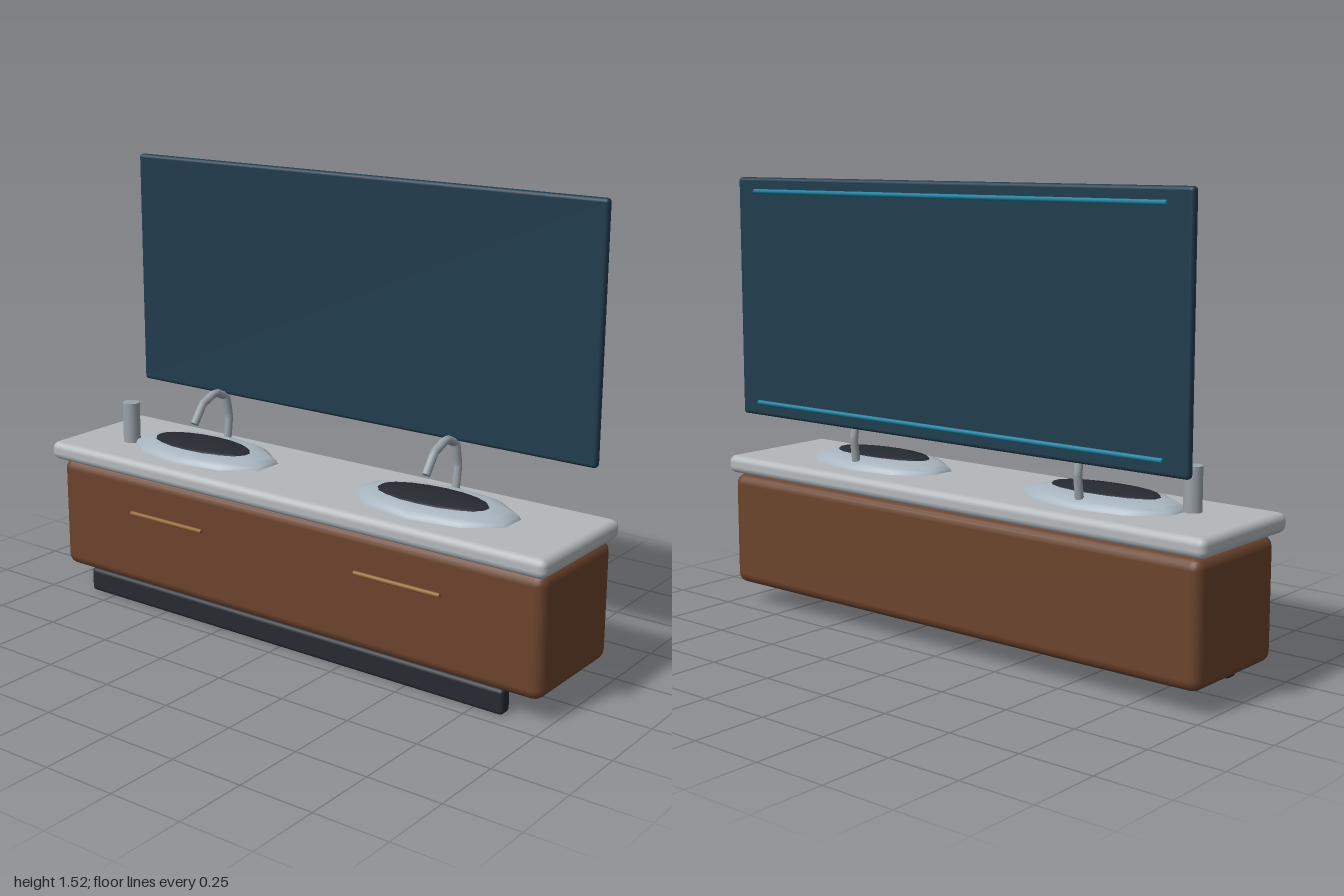
import * as THREE from 'three';
import { RoundedBoxGeometry } from 'three/addons/geometries/RoundedBoxGeometry.js';

const paint = (color) => new THREE.MeshStandardMaterial({ color });
const wood = paint(0x6b432c);
const stone = paint(0xb3b8bb);
const ceramic = paint(0xa9b5bf);
const metal = paint(0x9aa3aa);
const dark = paint(0x262a31);
const glass = paint(0x1f3b4d);
const glow = paint(0x1a7f9c);
const brass = paint(0x8f6230);

export function createModel() {
  const model = new THREE.Group();
  model.name = 'doubleVanity';

  function add(name, geometry, material, x = 0, y = 0, z = 0) {
    const mesh = new THREE.Mesh(geometry, material);
    mesh.name = name;
    mesh.position.set(x, y, z);
    model.add(mesh);
    return mesh;
  }

  // Rounded box given by its lower and upper limits
  function block(name, material, [x0, x1], [y0, y1], [z0, z1], radius, segments = 2) {
    const geometry = new RoundedBoxGeometry(x1 - x0, y1 - y0, z1 - z0, segments, radius);
    return add(name, geometry, material, (x0 + x1) / 2, (y0 + y1) / 2, (z0 + z1) / 2);
  }

  // Shallow oval dome, profile as [radius fraction, height]
  function oval(name, material, profile, segments, rx, rz, x, y, z) {
    const points = profile.map(([r, h]) => new THREE.Vector2(r, h));
    const geometry = new THREE.LatheGeometry(points, segments);
    geometry.scale(rx, 1, rz);
    return add(name, geometry, material, x, y, z);
  }

  // Cabinet, recessed plinth and countertop
  block('plinth', dark, [-0.855, 0.855], [0, 0.085], [0.15, 0.2], 0.014);
  block('cabinet', wood, [-0.98, 0.98], [0.075, 0.472], [-0.227, 0.2], 0.035);
  block('countertop', stone, [-1, 1], [0.475, 0.538], [-0.235, 0.235], 0.024);

  // Wall mirror with light strips behind it
  block('mirror', glass, [-0.93, 0.93], [0.695, 1.52], [-0.216, -0.186], 0.012);
  for (const y of [0.742, 1.473]) {
    const strip = add('lightStrip', new THREE.CylinderGeometry(0.008, 0.008, 1.69, 8), glow, 0, y, -0.219);
    strip.rotation.z = Math.PI / 2;
  }

  // Arched tap path, shared by both basins
  const tapPath = new THREE.CurvePath();
  const tapPoints = [
    [0.535, -0.112], [0.64, -0.127], [0.715, -0.112], [0.742, -0.055], [0.715, 0.012], [0.652, 0.058],
  ].map(([y, z]) => new THREE.Vector3(0, y, z));
  for (let i = 1; i < tapPoints.length; i++) {
    tapPath.add(new THREE.LineCurve3(tapPoints[i - 1], tapPoints[i]));
  }

  for (const side of [-1, 1]) {
    const x = side * 0.475;
    // Basin rim and its dark bowl surface
    oval('basin', ceramic,
      [[1, 0], [0.97, 0.012], [0.88, 0.024], [0.7, 0.034], [0.4, 0.038], [0, 0.039]],
      10, 0.3, 0.161, x, 0.536, 0.005);
    oval('bowl', dark, [[1, -0.012], [0.92, 0.001], [0.5, 0.004], [0, 0.005]],
      18, 0.21, 0.09, x, 0.576, 0.018);

    // Tap with closed ends
    add('tap', new THREE.TubeGeometry(tapPath, 20, 0.014, 8), metal, x);
    const tip = add('tapTip', new THREE.CircleGeometry(0.014, 8), metal, x, 0.652, 0.058);
    tip.lookAt(x, 0.652 - 0.063, 0.058 + 0.046);

    // Drawer handle
    const handle = add('drawerHandle', new THREE.CylinderGeometry(0.008, 0.008, 0.32, 8), brass, x, 0.34, 0.214);
    handle.rotation.z = Math.PI / 2;
  }

  // Tumbler beside the right-hand basin
  add('tumbler', new THREE.CylinderGeometry(0.03, 0.03, 0.145, 16), metal, -0.775, 0.608, 0.053);

  return model;
}
